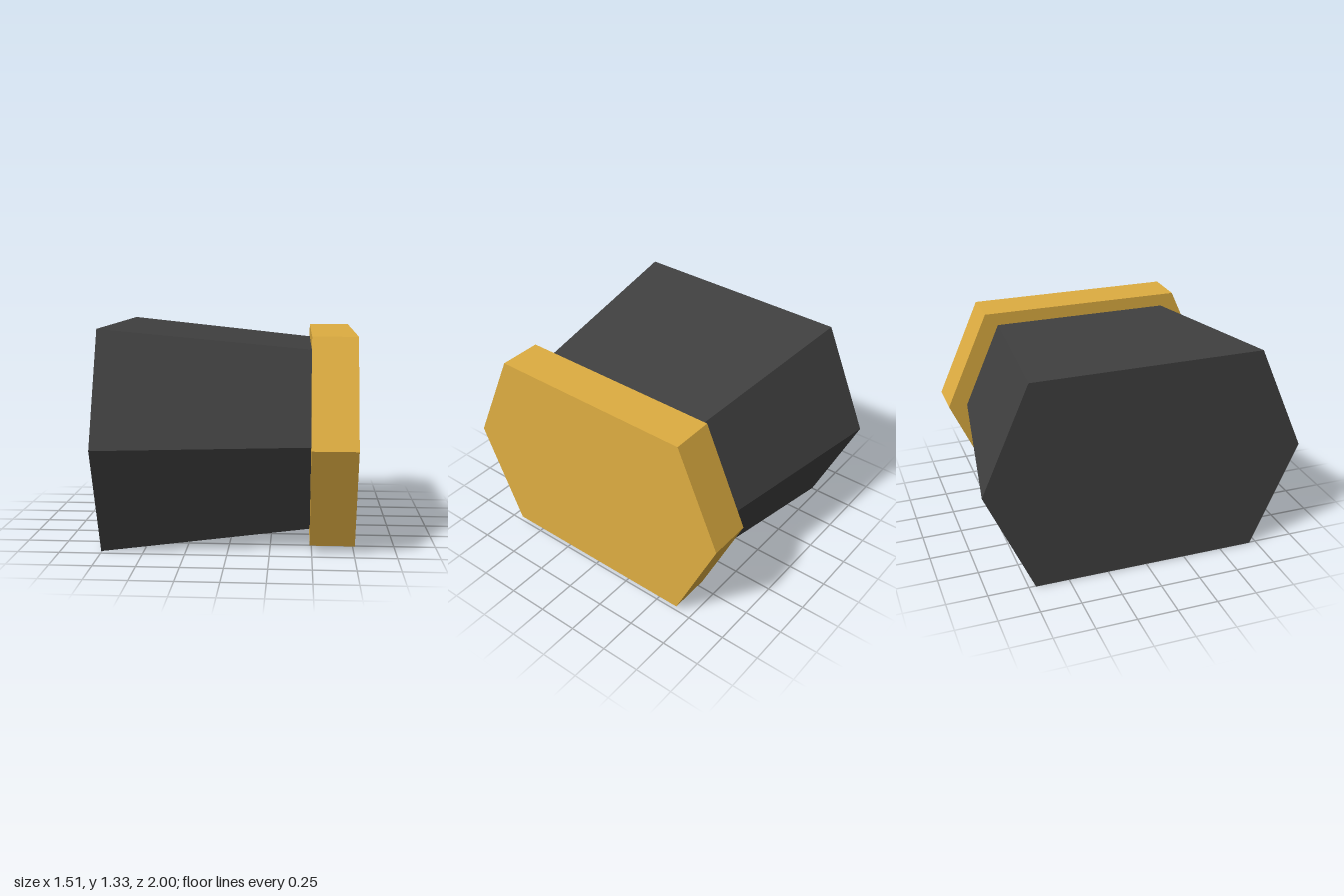
import * as THREE from 'three';

const CENTRE_Y = 0.6625;

// Stretched hexagonal prism along x, optionally tapering towards its +x end
function hexPrism(name, material, x0, x1, halfDepth, cornerDepth, halfHeight, taper = 1) {
  const outline = new THREE.Shape([
    [halfDepth, 0], [cornerDepth, halfHeight], [-cornerDepth, halfHeight],
    [-halfDepth, 0], [-cornerDepth, -halfHeight], [cornerDepth, -halfHeight],
  ].map(([z, y]) => new THREE.Vector2(z, y)));
  const length = x1 - x0;
  const geometry = new THREE.ExtrudeGeometry(outline, { depth: length, bevelEnabled: false });
  geometry.rotateY(Math.PI / 2);

  // Shrink each cross-section in proportion to its distance along the prism
  const pos = geometry.attributes.position;
  for (let i = 0; i < pos.count; i++) {
    const s = 1 + (taper - 1) * pos.getX(i) / length;
    pos.setY(i, pos.getY(i) * s);
    pos.setZ(i, pos.getZ(i) * s);
  }
  geometry.computeVertexNormals();

  const mesh = new THREE.Mesh(geometry, material);
  mesh.name = name;
  mesh.position.set(x0, CENTRE_Y, 0);
  return mesh;
}

export function createModel() {
  const charcoal = new THREE.MeshStandardMaterial({ color: 0x404040, flatShading: true });
  charcoal.name = 'charcoal';
  const gold = new THREE.MeshStandardMaterial({ color: 0xdead41, flatShading: true });
  gold.name = 'gold';

  const model = new THREE.Group();
  model.name = 'hexagonalPlug';
  // Tapered dark body and the flat gold collar capping its narrow end
  model.add(
    hexPrism('body', charcoal, -0.755, 0.488, 1, 0.707, 0.6625, 0.813),
    hexPrism('collar', gold, 0.488, 0.755, 0.935, 0.657, 0.62),
  );
  return model;
}
